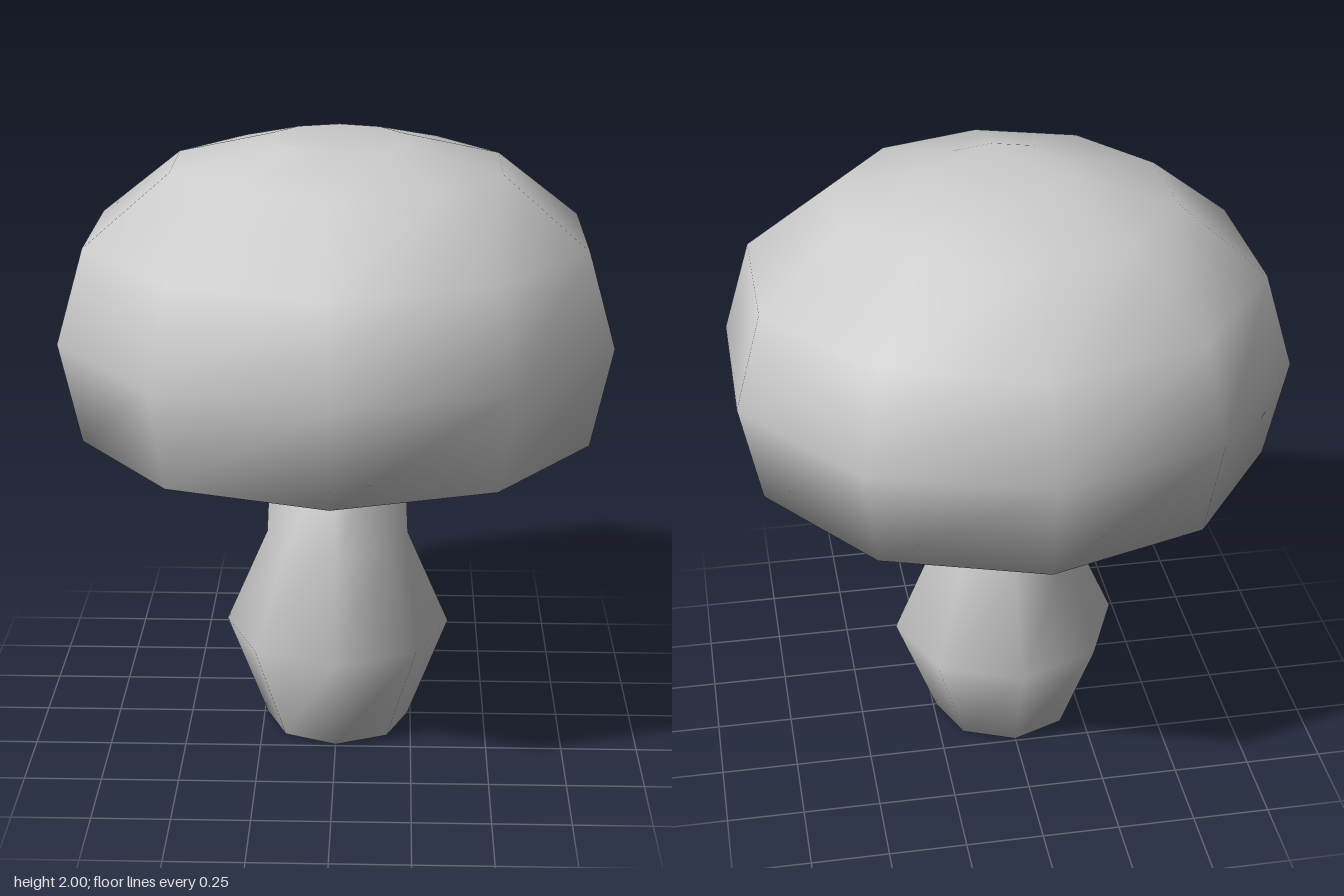
import * as THREE from 'three';

// Closed, smooth-shaded solid from [radius, height] rings, listed bottom to top.
// Ring vertices are shared with the end faces so the shading rolls over the rims.
function ringSolid(profile, sides) {
  const positions = [];
  const index = [];
  for (const [radius, y] of profile) {
    for (let i = 0; i < sides; i++) {
      const a = (i / sides) * Math.PI * 2;
      positions.push(radius * Math.sin(a), y, radius * Math.cos(a));
    }
  }
  for (let r = 0; r < profile.length - 1; r++) {
    for (let i = 0; i < sides; i++) {
      const a = r * sides + i;
      const b = r * sides + ((i + 1) % sides);
      index.push(a, b, b + sides, a, b + sides, a + sides);
    }
  }
  // flat end faces
  const top = (profile.length - 1) * sides;
  for (let i = 1; i < sides - 1; i++) {
    index.push(0, i + 1, i);
    index.push(top, top + i, top + i + 1);
  }
  const geometry = new THREE.BufferGeometry();
  geometry.setAttribute('position', new THREE.Float32BufferAttribute(positions, 3));
  geometry.setIndex(index);
  geometry.computeVertexNormals();
  return geometry;
}

export function createModel() {
  const model = new THREE.Group();
  model.name = 'mushroom';

  const grey = new THREE.MeshStandardMaterial({ color: 0xcccccc });
  grey.name = 'light grey';

  // bulbous stem, its top just inside the cap
  const stem = new THREE.Mesh(
    ringSolid([[0.24, 0], [0.373, 0.35], [0.235, 0.67], [0.215, 1.09]], 8),
    grey
  );
  stem.name = 'stem';

  // domed cap with a flat underside
  const cap = new THREE.Mesh(
    ringSolid([[0.842, 1.075], [0.91, 1.4], [0.82, 1.7], [0.54, 1.92], [0.22, 2]], 10),
    grey
  );
  cap.name = 'cap';

  model.add(stem, cap);
  return model;
}
